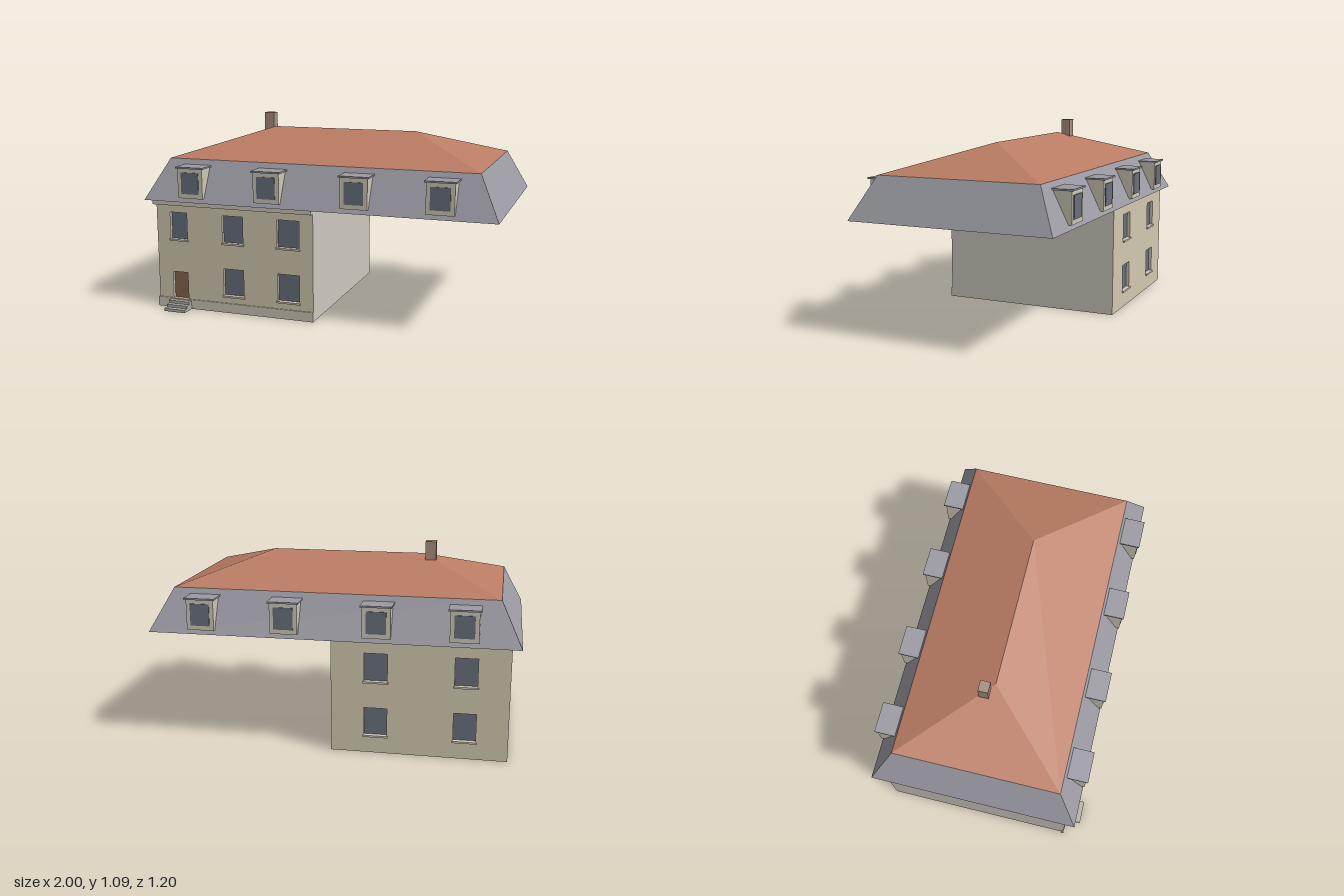
import * as THREE from 'three';

const mat = (color) => new THREE.MeshStandardMaterial({ color });
const wallMat = mat(0xd3cab0), sideMat = mat(0xd0cabf), slateMat = mat(0x9c9ba4);
const roofMat = mat(0xba7c64), chimneyMat = mat(0xa98e80), paneMat = mat(0x69707d);
const doorMat = mat(0x86684f), stoneMat = mat(0xb0aea6), trimMat = mat(0xcfc8b8);
slateMat.side = THREE.DoubleSide;

// Box given by its minimum and maximum corners
function box(name, material, [x0, y0, z0], [x1, y1, z1]) {
  const mesh = new THREE.Mesh(new THREE.BoxGeometry(x1 - x0, y1 - y0, z1 - z0), material);
  mesh.position.set((x0 + x1) / 2, (y0 + y1) / 2, (z0 + z1) / 2);
  mesh.name = name;
  return mesh;
}

// Flat-faced shell between rectangular levels [halfX, y, halfZ]; cap closes the underside
function hipShell(name, material, low, high, cap) {
  const ring = ([x, y, z]) => [[-x, y, z], [x, y, z], [x, y, -z], [-x, y, -z]];
  const a = ring(low), b = ring(high), tris = [];
  for (let i = 0; i < 4; i++) {
    const j = (i + 1) % 4;
    tris.push(a[i], a[j], b[j], a[i], b[j], b[i]);
  }
  if (cap) tris.push(a[0], a[2], a[1], a[0], a[3], a[2]);
  const geo = new THREE.BufferGeometry();
  geo.setAttribute('position', new THREE.Float32BufferAttribute(tris.flat(), 3));
  geo.computeVertexNormals();
  const mesh = new THREE.Mesh(geo, material);
  mesh.name = name;
  return mesh;
}

const LEFT = -0.95, TOP = 0.63, REVEAL = 0.02;

// Wall skin facing +z at local z = 0, with recessed openings and sills
function facade(name, x0, x1, openings) {
  const group = new THREE.Group();
  group.name = name;
  const rect = (C, a, b, c, d) => {
    const s = new C();
    s.moveTo(a, b); s.lineTo(c, b); s.lineTo(c, d); s.lineTo(a, d); s.closePath();
    return s;
  };
  const shape = rect(THREE.Shape, x0, 0, x1, TOP);
  for (const o of openings) {
    shape.holes.push(rect(THREE.Path, o.x0, o.y0, o.x1, o.y1));
    group.add(box(o.door ? 'door' : 'windowPane', o.door ? doorMat : paneMat,
      [o.x0, o.y0, -REVEAL - 0.005], [o.x1, o.y1, -REVEAL + 0.002]));
    if (!o.door) group.add(box('windowSill', trimMat,
      [o.x0 - 0.006, o.y0 - 0.01, -REVEAL], [o.x1 + 0.006, o.y0, 0.01]));
  }
  const geo = new THREE.ExtrudeGeometry(shape, { depth: REVEAL, bevelEnabled: false });
  geo.translate(0, 0, -REVEAL);
  const skin = new THREE.Mesh(geo, [wallMat, sideMat]);
  skin.name = name + 'Wall';
  group.add(skin);
  return group;
}

// Dormer facing +z, centred on x = 0; z measured from the ridge line
function dormer() {
  const group = new THREE.Group();
  group.name = 'dormer';
  group.add(
    box('dormerBody', trimMat, [-0.075, 0.655, 0.465], [0.075, 0.822, 0.575]),
    box('dormerPane', paneMat, [-0.053, 0.68, 0.57], [0.053, 0.8, 0.579]),
    box('dormerCap', slateMat, [-0.084, 0.822, 0.463], [0.084, 0.831, 0.585]));
  return group;
}

export function createModel() {
  const model = new THREE.Group();
  model.name = 'house';

  // Solid core between the two facades
  model.add(box('houseBody', sideMat, [LEFT, 0, -0.54 + REVEAL], [0, TOP, 0.51 - REVEAL]));

  // Front: three windows above, a door and two windows below
  const cols = [[-0.865, -0.76], [-0.54, -0.415], [-0.21, -0.08]];
  const rows = [[0.405, 0.56], [0.1, 0.255]];
  const front = [{ x0: -0.86, x1: -0.765, y0: 0.055, y1: 0.212, door: true }];
  rows.forEach(([y0, y1], r) => cols.forEach(([x0, x1], c) => {
    if (r === 0 || c > 0) front.push({ x0, x1, y0, y1 });
  }));
  const frontFacade = facade('frontFacade', LEFT, 0, front);
  frontFacade.position.z = 0.51;

  // Back: two columns of windows, laid out in turned coordinates
  const back = rows.flatMap(([y0, y1]) =>
    [[0.18, 0.305], [0.66, 0.78]].map(([x0, x1]) => ({ x0, x1, y0, y1 })));
  const backFacade = facade('backFacade', 0, -LEFT, back);
  backFacade.rotation.y = Math.PI;
  backFacade.position.z = -0.54;
  model.add(frontFacade, backFacade);

  // Front plinth and cornice
  model.add(box('plinth', trimMat, [-0.958, 0, 0.5], [0, 0.055, 0.516]));
  model.add(box('cornice', trimMat, [-0.957, 0.605, 0.5], [0, TOP, 0.54]));

  // Entrance steps
  const stepFronts = [0.6, 0.572, 0.544];
  stepFronts.forEach((z, i) => model.add(
    box('entranceStep', stoneMat, [-0.875, i * 0.016, 0.51], [-0.745, (i + 1) * 0.016, z])));

  // Mansard roof: open slate skirt, hipped tile top and two rows of dormers
  const roof = new THREE.Group();
  roof.name = 'roof';
  roof.position.z = -0.015;
  roof.add(hipShell('slateSkirt', slateMat, [1, 0.63, 0.57], [0.885, 0.86, 0.457], false));
  roof.add(hipShell('tileRoof', roofMat, [0.885, 0.86, 0.457], [0.43, 1.01, 0], true));
  for (const x of [-0.705, -0.25, 0.245, 0.703]) {
    for (const turn of [0, Math.PI]) {
      const d = dormer();
      d.position.x = x;
      d.rotation.y = turn;
      roof.add(d);
    }
  }
  model.add(roof);

  model.add(box('chimney', chimneyMat, [-0.51, 0.92, -0.09], [-0.45, 1.088, -0.035]));
  return model;
}
